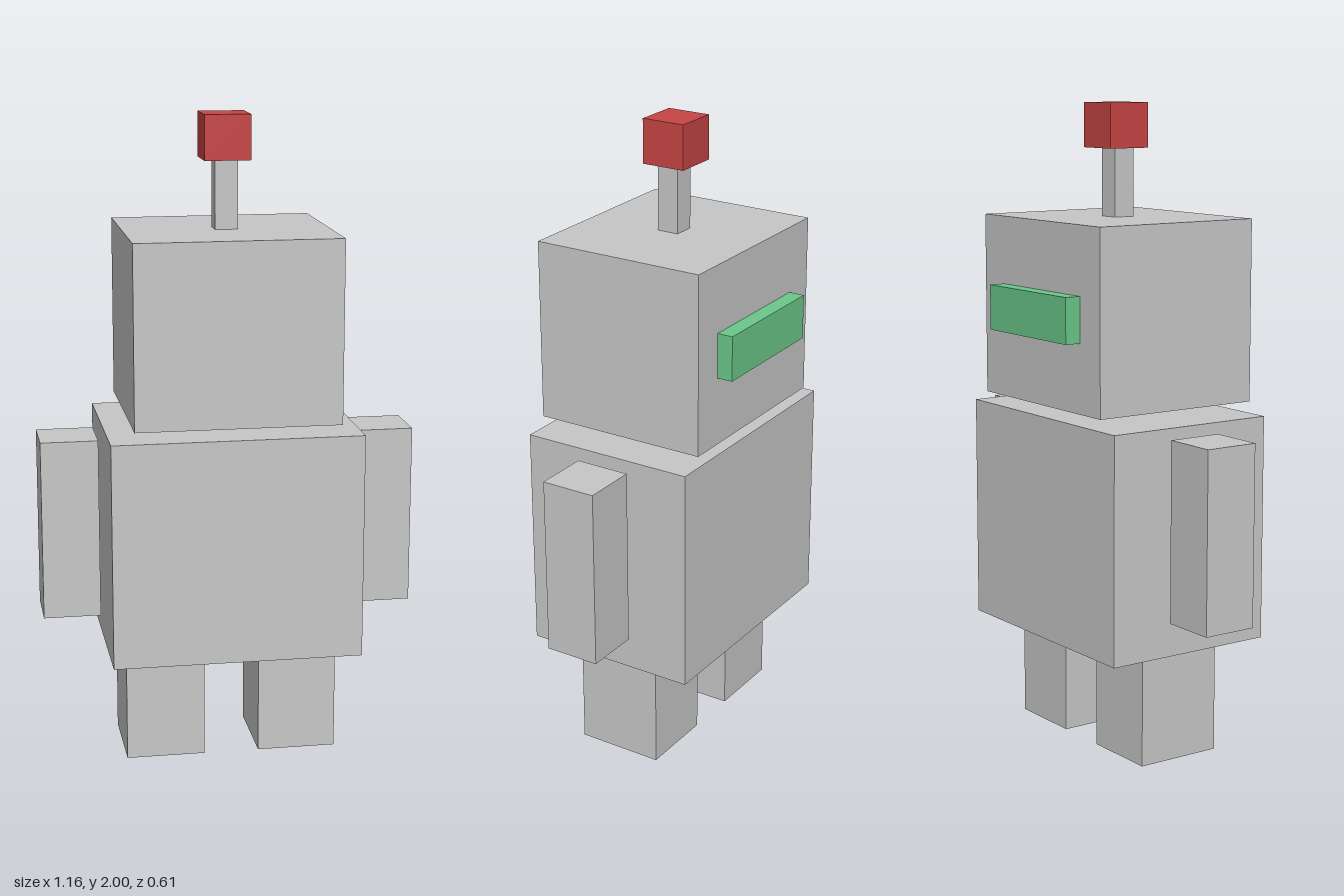
import * as THREE from 'three';

export function createModel() {
  const robot = new THREE.Group();
  robot.name = 'robot';

  const material = (name, color) => {
    const m = new THREE.MeshStandardMaterial({ color });
    m.name = name;
    return m;
  };
  const grey = material('light grey', 0xc8c8c8);
  const red = material('red', 0xc84545);
  const green = material('green', 0x6bc98a);

  // Box given by its extents along each axis
  const block = (name, mat, [x0, x1], [y0, y1], [z0, z1]) => {
    const mesh = new THREE.Mesh(new THREE.BoxGeometry(x1 - x0, y1 - y0, z1 - z0), mat);
    mesh.position.set((x0 + x1) / 2, (y0 + y1) / 2, (z0 + z1) / 2);
    mesh.name = name;
    robot.add(mesh);
    return mesh;
  };

  // Torso and the head floating just above it
  block('torso', grey, [-0.386, 0.386], [0.352, 1.054], [-0.256, 0.305]);
  block('head', grey, [-0.315, 0.315], [1.09, 1.653], [-0.256, 0.305]);

  // Visor on the -z face of the head
  block('visor', green, [-0.21, 0.21], [1.303, 1.443], [-0.306, -0.256]);

  // Antenna
  block('antennaStem', grey, [-0.035, 0.035], [1.653, 1.865], [-0.006, 0.064]);
  block('antennaTip', red, [-0.071, 0.071], [1.863, 2], [-0.048, 0.092]);

  // Mirrored arms and legs
  for (const [side, s] of [['left', 1], ['right', -1]]) {
    const span = (inner, outer) => (s > 0 ? [inner, outer] : [-outer, -inner]);
    block(side + 'Arm', grey, span(0.404, 0.581), [0.461, 1.022], [-0.063, 0.112]);
    block(side + 'Leg', grey, span(0.086, 0.332), [0, 0.352], [-0.113, 0.165]);
  }

  return robot;
}
